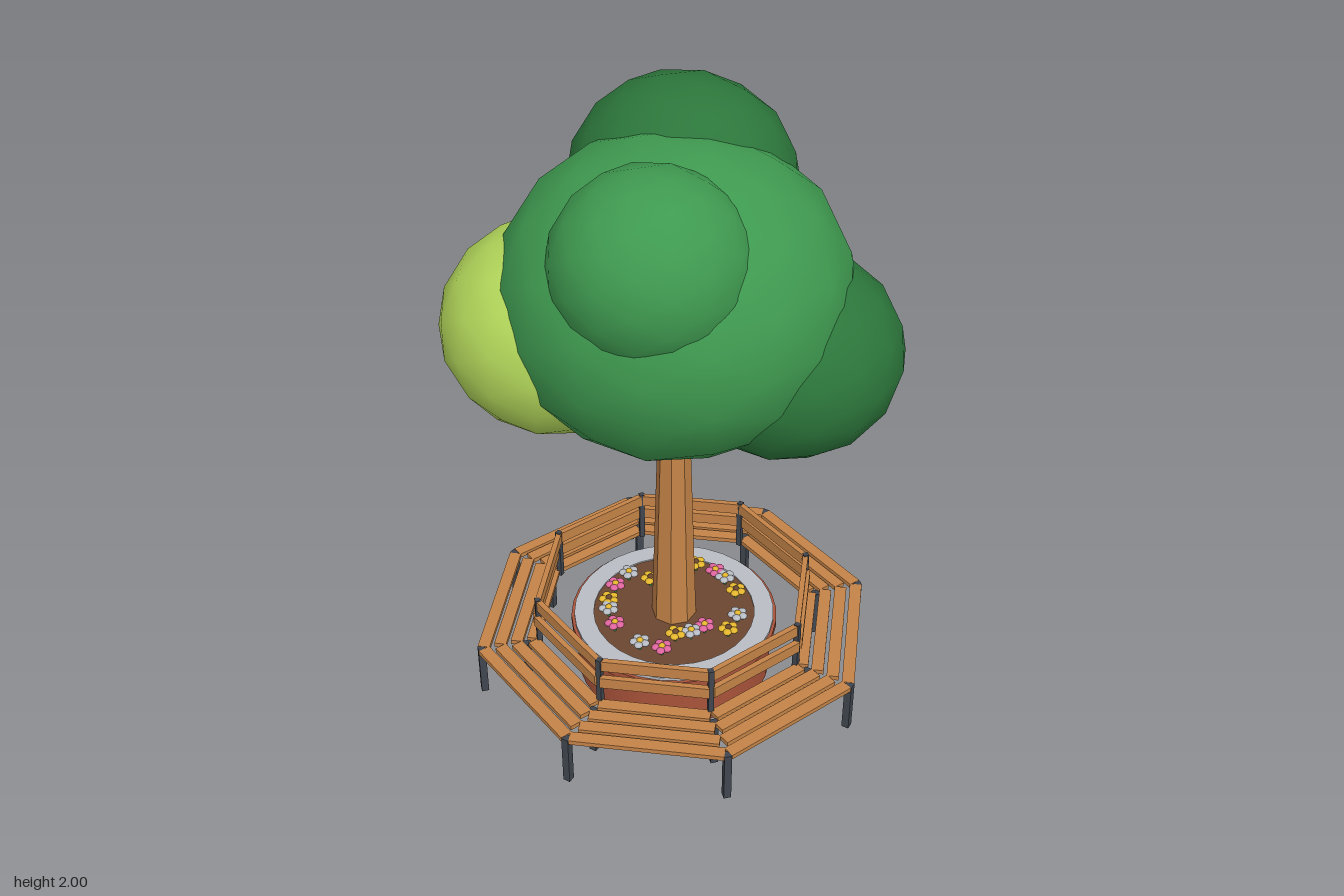
import * as THREE from 'three';

const mat = (name, color, double = false) => {
  const m = new THREE.MeshStandardMaterial({ color });
  m.name = name;
  if (double) m.side = THREE.DoubleSide;
  return m;
};

export function createModel() {
  const M = {
    leaf: mat('leafGreen', 0x3f9a50),
    dark: mat('darkGreen', 0x2c763b),
    lime: mat('limeGreen', 0xb2d65a),
    wood: mat('wood', 0xc48347),
    brick: mat('terracotta', 0xa9533a),
    metal: mat('darkMetal', 0x40454e),
    soil: mat('soil', 0x6b4630),
    stone: mat('paleStone', 0xb9bdc4, true),
    pink: mat('pinkPetal', 0xe0659f),
    yellow: mat('yellowPetal', 0xe6b72e),
  };
  const root = new THREE.Group();
  root.name = 'treeWithBench';

  const add = (parent, name, geo, material, x = 0, y = 0, z = 0) => {
    const mesh = new THREE.Mesh(geo, material);
    mesh.name = name;
    mesh.position.set(x, y, z);
    parent.add(mesh);
    return mesh;
  };
  const group = (name, parent = root) => {
    const g = new THREE.Group();
    g.name = name;
    parent.add(g);
    return g;
  };

  // Foliage: overlapping, slightly squashed balls
  const canopy = group('canopy');
  const ball = new THREE.IcosahedronGeometry(1, 2);
  [
    ['mainFoliage', M.leaf, [0.01, 1.455, 0.01], [0.535, 0.482, 0.535]],
    ['limeFoliage', M.lime, [-0.308, 1.33, 0.163], [0.354, 0.328, 0.354]],
    ['rightFoliage', M.dark, [0.322, 1.288, -0.11], [0.352, 0.314, 0.354]],
    ['topBackFoliage', M.dark, [-0.11, 1.685, -0.24], [0.355, 0.32, 0.335]],
    ['topFrontFoliage', M.leaf, [0.08, 1.682, 0.255], [0.295, 0.284, 0.295]],
  ].forEach(([name, m, p, s]) => add(canopy, name, ball, m, ...p).scale.set(...s));

  // Eight-sided tapering trunk
  const trunkGeo = new THREE.CylinderGeometry(0.044, 0.075, 1.0, 8).rotateY(Math.PI / 8).toNonIndexed();
  trunkGeo.computeVertexNormals();
  add(root, 'trunk', trunkGeo, M.wood, 0, 0.69, 0);

  // Round planter with a lip, a stone ring and soil
  const planter = group('planter');
  add(planter, 'planterBody', new THREE.CylinderGeometry(0.327, 0.327, 0.18, 32), M.brick, 0, 0.09, 0);
  add(planter, 'planterLip', new THREE.CylinderGeometry(0.345, 0.345, 0.026, 32), M.brick, 0, 0.187, 0);
  const ring = [[0.335, 0.199], [0.335, 0.21], [0.27, 0.21], [0.27, 0.195]]
    .map(([r, y]) => new THREE.Vector2(r, y));
  const ringGeo = new THREE.LatheGeometry(ring, 32).toNonIndexed();
  ringGeo.computeVertexNormals();
  add(planter, 'stoneRing', ringGeo, M.stone);
  add(planter, 'soil', new THREE.CylinderGeometry(0.272, 0.272, 0.02, 32), M.soil, 0, 0.195, 0);

  // Flowers scattered in two rings
  const flowers = group('flowers');
  const petals = [M.pink, M.yellow, M.stone];
  const stemGeo = new THREE.CylinderGeometry(0.005, 0.005, 0.036, 6);
  const petalGeo = new THREE.SphereGeometry(0.015, 8, 6);
  const heartGeo = new THREE.SphereGeometry(0.012, 8, 6);
  for (let i = 0; i < 18; i++) {
    const a = i * 2.4 + 0.3;
    const r = i % 4 ? 0.22 : 0.15;
    const f = group('flower', flowers);
    f.position.set(Math.cos(a) * r, 0.205, Math.sin(a) * r);
    add(f, 'stem', stemGeo, M.leaf, 0, 0.015, 0);
    const petalMat = petals[i % 3];
    for (let k = 0; k < 5; k++) {
      const b = (k / 5) * Math.PI * 2;
      add(f, 'petal', petalGeo, petalMat, Math.cos(b) * 0.02, 0.033, Math.sin(b) * 0.02).scale.y = 0.6;
    }
    add(f, 'flowerHeart', heartGeo, petalMat === M.yellow ? M.soil : M.yellow, 0, 0.036, 0);
  }

  // Octagonal bench: slats along each side, legs and posts at each corner
  const bench = group('bench');
  const slope = Math.tan(Math.PI / 8);
  for (let i = 0; i < 8; i++) {
    const side = group('benchSide', bench);
    side.rotation.y = ((i + 0.5) * Math.PI) / 4;
    const slat = (name, apothem, y, height, depth) => add(side, name,
      new THREE.BoxGeometry(2 * apothem * slope - 0.012, height, depth),
      M.wood, 0, y, apothem);
    for (let k = 0; k < 4; k++) slat('seatSlat', 0.6 - k * 0.051, 0.175, 0.016, 0.04);
    slat('lowerBackSlat', 0.434, 0.267, 0.04, 0.018);
    slat('upperBackSlat', 0.424, 0.329, 0.04, 0.018);

    const corner = group('benchCorner', bench);
    corner.rotation.y = (i * Math.PI) / 4;
    const post = (name, r, y0, y1, w) => add(corner, name,
      new THREE.BoxGeometry(w, y1 - y0, w), M.metal, 0, (y0 + y1) / 2, r);
    post('outerLeg', 0.655, 0, 0.182, 0.024);
    post('innerLeg', 0.503, 0, 0.172, 0.024);
    post('backPost', 0.46, 0.165, 0.352, 0.018);
  }
  return root;
}
